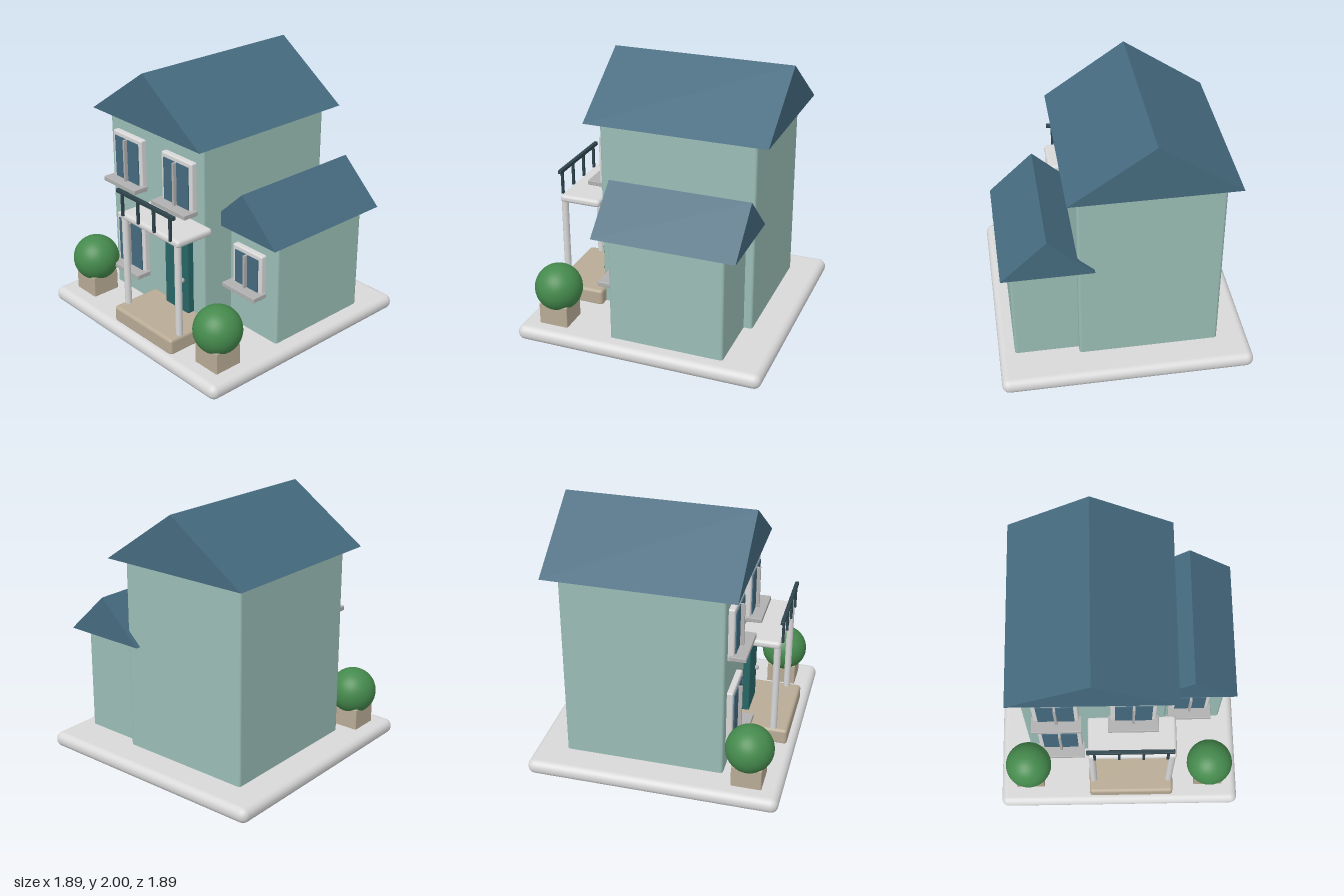
import * as THREE from 'three';
import { RoundedBoxGeometry } from 'three/addons/geometries/RoundedBoxGeometry.js';

function material(name, color) {
  const m = new THREE.MeshStandardMaterial({ color });
  m.name = name;
  return m;
}

export function createModel() {
  const white = material('white', 0xd8d8d8);
  const grey = material('trim grey', 0xb0b0b0);
  const wall = material('sage wall', 0x9abdb5);
  const blue = material('slate blue', 0x456a7e);
  const teal = material('door teal', 0x286666);
  const stone = material('sandstone', 0xb8ab95);
  const green = material('foliage green', 0x458a4d);
  const dark = material('rail dark', 0x2f444c);

  const house = new THREE.Group();
  house.name = 'house';

  function add(name, geometry, mat, parent = house) {
    const mesh = new THREE.Mesh(geometry, mat);
    mesh.name = name;
    parent.add(mesh);
    return mesh;
  }

  // Box given by its limits on each axis, with optionally rounded edges
  function box(name, mat, [x0, x1], [y0, y1], [z0, z1], radius = 0, parent = house) {
    const w = x1 - x0, h = y1 - y0, d = z1 - z0;
    const g = radius ? new RoundedBoxGeometry(w, h, d, 3, radius) : new THREE.BoxGeometry(w, h, d);
    const mesh = add(name, g, mat, parent);
    mesh.position.set((x0 + x1) / 2, (y0 + y1) / 2, (z0 + z1) / 2);
    return mesh;
  }

  // Gabled roof: triangle extruded from back to front
  function roof(name, [x0, x1], [y0, y1], [z0, z1]) {
    const s = new THREE.Shape();
    s.moveTo(x0, y0);
    s.lineTo(x1, y0);
    s.lineTo((x0 + x1) / 2, y1);
    s.closePath();
    const g = new THREE.ExtrudeGeometry(s, { depth: z1 - z0, bevelEnabled: false });
    add(name, g, blue).position.z = z0;
  }

  // Framed window with two panes, a mullion and a sill
  function windowUnit(name, x, y0, y1, z, w) {
    const g = new THREE.Group();
    g.name = name;
    g.position.set(x, 0, z);
    house.add(g);
    const half = w / 2, inner = half - 0.033;
    box('windowFrame', white, [-half, half], [y0, y1], [-0.01, 0.045], 0.012, g);
    for (const side of [-1, 1]) {
      const xs = [side * 0.007, side * inner].sort((a, b) => a - b);
      box('windowPane', blue, xs, [y0 + 0.05, y1 - 0.035], [0.044, 0.053], 0, g);
    }
    box('mullion', grey, [-0.009, 0.009], [y0 + 0.05, y1 - 0.035], [0.044, 0.08], 0, g);
    box('windowSill', grey, [-half - 0.018, half + 0.018], [y0 + 0.018, y0 + 0.053], [0.01, 0.135], 0.005, g);
  }

  // Base slab and house volumes
  box('baseSlab', white, [-0.945, 0.945], [0, 0.115], [-0.945, 0.945], 0.055);
  box('mainBody', wall, [-0.705, 0.345], [0.09, 1.59], [-0.7, 0.495], 0.02);
  box('sideWing', wall, [0.3, 0.825], [0.09, 0.94], [-0.635, 0.23], 0.02);
  roof('mainRoof', [-0.79, 0.42], [1.585, 2], [-0.8, 0.592]);
  roof('wingRoof', [0.225, 0.895], [0.93, 1.245], [-0.738, 0.33]);

  // Windows
  windowUnit('upperRightWindow', -0.457, 1.03, 1.445, 0.495, 0.335);
  windowUnit('upperLeftWindow', 0.107, 1.03, 1.445, 0.495, 0.335);
  windowUnit('lowerWindow', -0.452, 0.32, 0.762, 0.495, 0.335);
  windowUnit('wingWindow', 0.56, 0.447, 0.795, 0.23, 0.3);

  // Entrance: step, door and knob
  box('entranceStep', stone, [-0.235, 0.425], [0.1, 0.232], [0.48, 0.885], 0.025);
  box('door', teal, [-0.032, 0.226], [0.225, 0.832], [0.48, 0.55], 0.012);
  add('doorKnob', new THREE.SphereGeometry(0.019, 16, 12), grey).position.set(0.177, 0.498, 0.562);

  // Porch slab and posts
  box('porchSlab', white, [-0.23, 0.425], [0.932, 0.99], [0.48, 0.802], 0.025);
  for (const x of [-0.2, 0.392]) {
    add('porchPost', new THREE.CylinderGeometry(0.026, 0.026, 0.74, 16), white).position.set(x, 0.59, 0.775);
  }

  // Balcony railing
  box('handrail', dark, [-0.237, 0.4], [1.148, 1.176], [0.793, 0.822], 0.004);
  for (const x of [-0.18, -0.001, 0.177, 0.355]) {
    box('baluster', dark, [x - 0.009, x + 0.009], [0.975, 1.155], [0.799, 0.817]);
  }

  // Planters with round shrubs
  for (const side of [-1, 1]) {
    const g = new THREE.Group();
    g.name = side < 0 ? 'rightPlanter' : 'leftPlanter';
    g.position.set(side * 0.711, 0, 0.692);
    house.add(g);
    box('planterBox', stone, [-0.113, 0.113], [0.1, 0.28], [-0.113, 0.113], 0.008, g);
    add('shrub', new THREE.SphereGeometry(0.178, 32, 24), green, g).position.y = 0.385;
  }

  return house;
}
